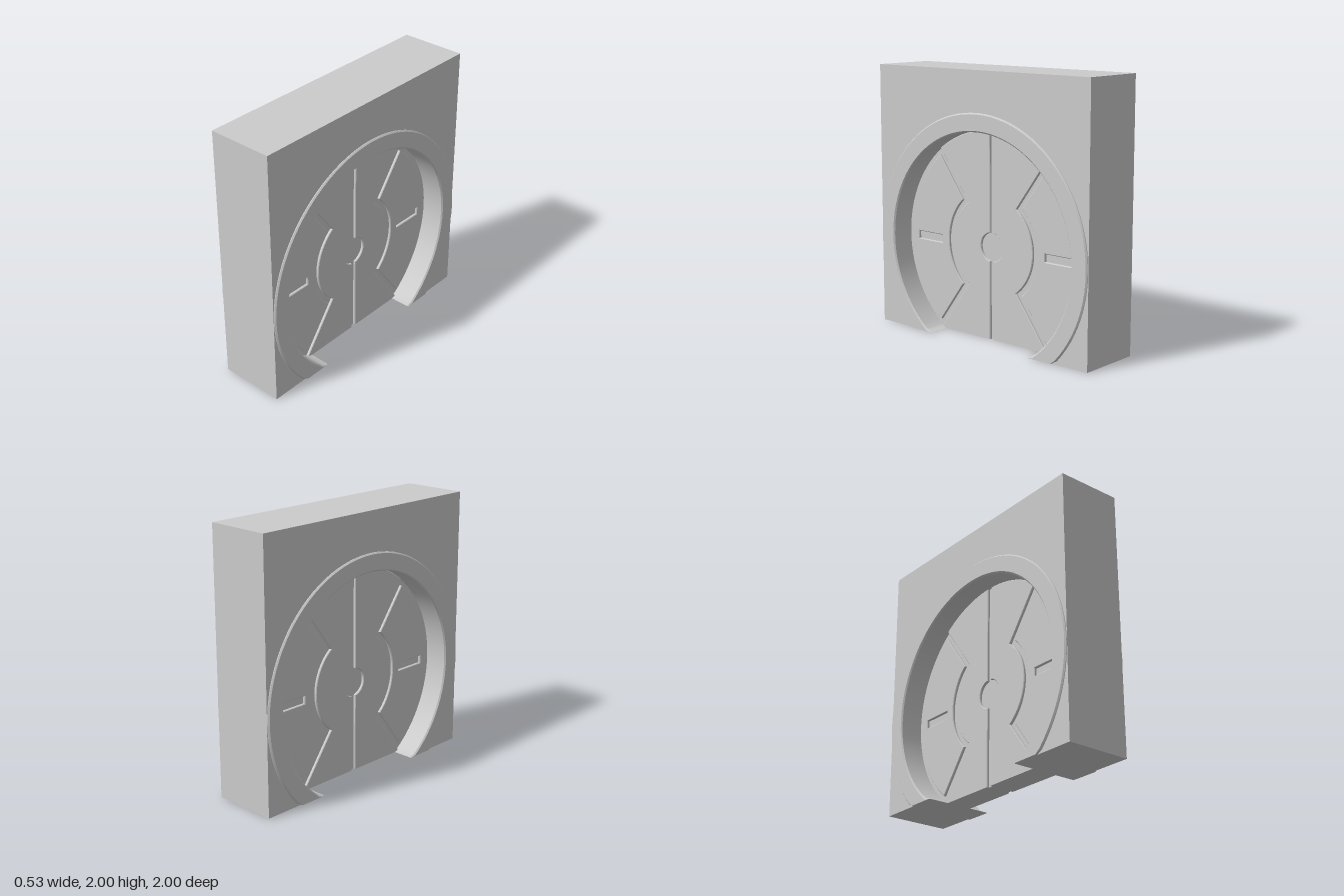
import * as THREE from 'three';
import { toCreasedNormals } from 'three/addons/utils/BufferGeometryUtils.js';

const CY = 0.7;        // height of the round opening's centre
const LOW = -0.02;     // outlines dip below ground, then get flattened onto it
const material = new THREE.MeshStandardMaterial({ color: 0xcccccc });

// Extrudes an outline drawn in (z, y), centred across x, with a small chamfer.
function slab(name, shape, halfDepth, bevel = 0) {
  let geo = new THREE.ExtrudeGeometry(shape, {
    depth: 2 * (halfDepth - bevel), curveSegments: 36,
    bevelEnabled: bevel > 0, bevelSize: bevel, bevelThickness: bevel,
    bevelOffset: -bevel, bevelSegments: 1,
  });
  geo.translate(0, 0, bevel - halfDepth).rotateY(-Math.PI / 2);
  const p = geo.attributes.position;
  for (let i = 0; i < p.count; i++) p.setY(i, Math.max(0, p.getY(i)));
  geo = toCreasedNormals(geo, 0.4);
  const mesh = new THREE.Mesh(geo, material);
  mesh.name = name;
  return mesh;
}

// Angle at which a circle around the opening's centre meets height y (right side).
const angleAt = (r, y) => Math.asin((y - CY) / r);

// Doorway arc of radius r, running from the right foot over the top to the left foot.
function overArc(shape, r, reverse = false) {
  const a = angleAt(r, LOW), b = Math.PI - a;
  return reverse ? shape.absarc(0, CY, r, b, a, true) : shape.absarc(0, CY, r, a, b, false);
}

// Wall block with an arched cut-out
function wallShape() {
  const s = new THREE.Shape();
  const r = 0.93, foot = r * Math.cos(angleAt(r, LOW));
  s.moveTo(foot, LOW).lineTo(1, LOW).lineTo(1, 2).lineTo(-1, 2).lineTo(-1, LOW);
  s.lineTo(-foot, LOW);
  return overArc(s, r, true);
}

// Rim around the opening
function rimShape() {
  const s = new THREE.Shape();
  overArc(s, 0.998);
  return overArc(s, 0.86, true);
}

// Half of the door's raised middle: stops short of the seam, hub and side panel
function middleShape() {
  const gap = 0.018, hub = 0.107, R = 0.86;
  const a = angleAt(0.388, 1.01), h = Math.acos(gap / hub);
  const s = new THREE.Shape();
  s.moveTo(gap, LOW).lineTo(0.52, LOW).lineTo(0.51, 0.01);
  s.absarc(0, CY, 0.388, -a, a, false);
  s.absarc(0, CY, R, angleAt(R, 1.39), Math.acos(gap / R), false);
  s.absarc(0, CY, hub, h, -h, true);
  return s;
}

// Raised side panel with a slot in it
function panelShape() {
  const outer = angleAt(0.82, 1.335), inner = angleAt(0.43, 1.02);
  const s = new THREE.Shape();
  s.absarc(0, CY, 0.82, -outer, outer, false);
  s.absarc(0, CY, 0.43, inner, -inner, true);
  const slot = new THREE.Path();
  slot.moveTo(0.5, 0.667).lineTo(0.5, 0.725).lineTo(0.75, 0.725).lineTo(0.75, 0.667);
  slot.closePath();
  s.holes.push(slot);
  return s;
}

export function createModel() {
  const model = new THREE.Group();
  model.name = 'roundDoorway';
  model.add(slab('wall', wallShape(), 0.25), slab('rim', rimShape(), 0.265, 0.01));

  // Door: a core slab forming the groove floors, with raised plates on both faces
  const door = new THREE.Group();
  door.name = 'door';
  door.add(slab('doorCore', overArc(new THREE.Shape(), 0.88), 0.083));
  for (const turn of [0, Math.PI]) {
    const half = new THREE.Group();
    half.name = turn ? 'backHalf' : 'frontHalf';
    half.add(slab('middlePlate', middleShape(), 0.102, 0.005));
    half.add(slab('sidePanel', panelShape(), 0.102, 0.005));
    half.rotation.y = turn;
    door.add(half);
  }
  model.add(door);
  return model;
}
